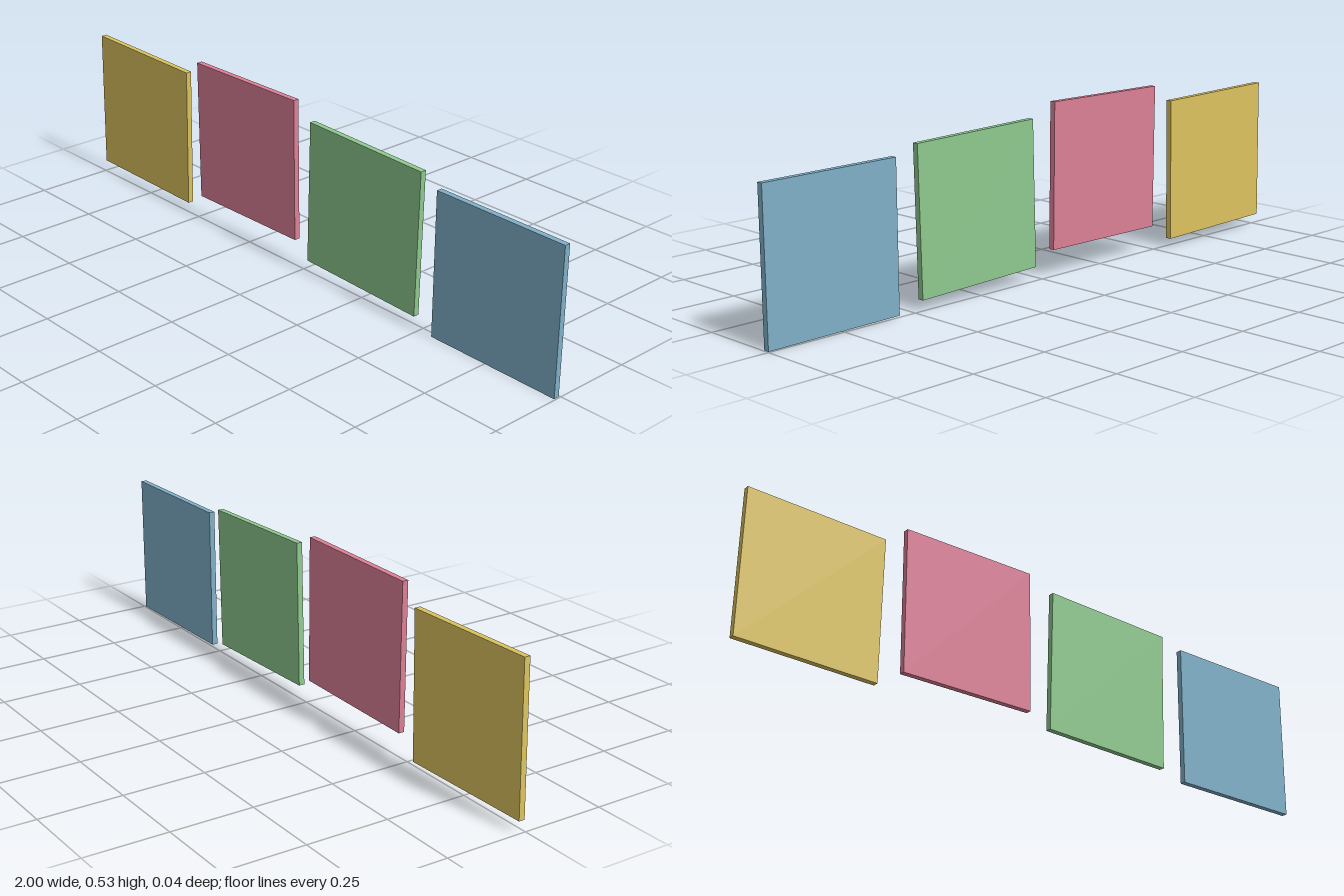
import * as THREE from 'three';

const SIZE = 0.444;
const THICKNESS = 0.018;

// One row of square cards, each slightly tilted and set a step further forward
const CARDS = [
  { name: 'yellowCard', color: 0xdcc35f, x: -0.774, y: 0.253, tilt: -1 },
  { name: 'pinkCard', color: 0xdd8097, x: -0.258, y: 0.304, tilt: 0.5 },
  { name: 'greenCard', color: 0x8fc98f, x: 0.259, y: 0.259, tilt: -1.5 },
  { name: 'blueCard', color: 0x80b0c8, x: 0.776, y: 0.223, tilt: -0.4 },
];

export function createModel() {
  const group = new THREE.Group();
  group.name = 'cardRow';
  const geometry = new THREE.BoxGeometry(SIZE, SIZE, THICKNESS);

  CARDS.forEach(({ name, color, x, y, tilt }, i) => {
    const card = new THREE.Mesh(geometry, new THREE.MeshStandardMaterial({ color }));
    card.name = name;
    card.position.set(x, y, (i - 1.5) * THICKNESS / 2);
    card.rotation.z = THREE.MathUtils.degToRad(tilt);
    group.add(card);
  });
  return group;
}
